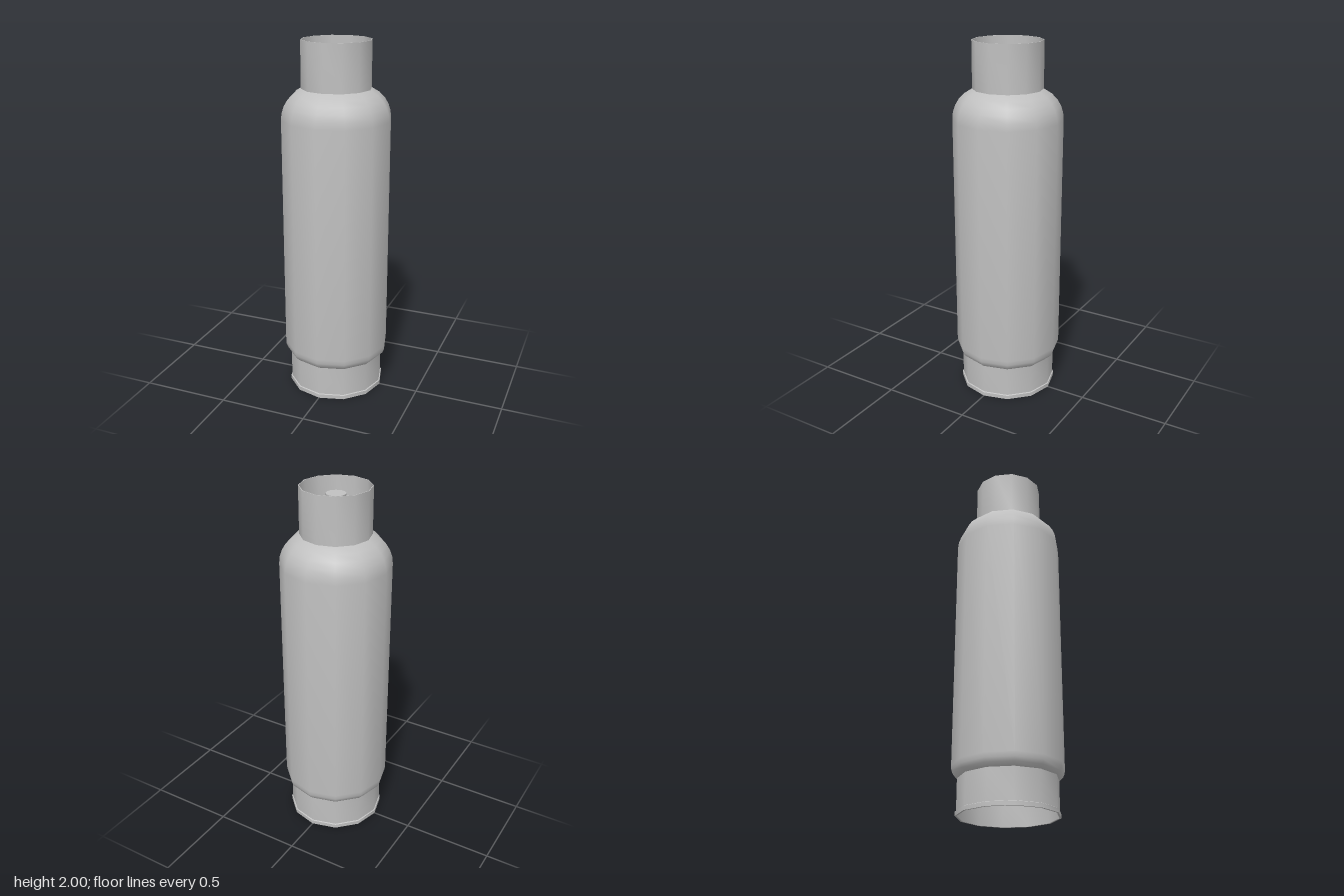
import * as THREE from 'three';
import { toCreasedNormals } from 'three/addons/utils/BufferGeometryUtils.js';

const SIDES = 12;

export function createModel() {
  const model = new THREE.Group();
  model.name = 'gasCylinder';
  const grey = new THREE.MeshStandardMaterial({ color: 0xc0c0c0 });
  grey.name = 'grey metal';

  // Turned part: profile runs up the outside, as [radius, height]
  function turned(name, profile) {
    const points = profile.map(([r, y]) => new THREE.Vector2(r, y));
    const geometry = toCreasedNormals(new THREE.LatheGeometry(points, SIDES), 0.75);
    const mesh = new THREE.Mesh(geometry, grey);
    mesh.name = name;
    model.add(mesh);
  }

  // Pressure vessel with domed ends
  turned('tank', [
    [0, 0.15], [0.14, 0.16], [0.23, 0.18], [0.27, 0.195], [0.289, 0.213], [0.298, 0.235], [0.3, 0.26],
    [0.3, 1.58], [0.296, 1.617], [0.284, 1.653], [0.264, 1.687], [0.234, 1.718], [0.19, 1.745],
    [0.13, 1.768], [0.07, 1.78], [0, 1.785],
  ]);

  // Open foot ring with a rolled lip at the base
  turned('footRing', [
    [0.264, 0], [0.274, 0], [0.274, 0.022], [0.268, 0.025], [0.268, 0.2],
    [0.264, 0.2], [0.264, 0],
  ]);

  // Thin open guard collar around the valve
  turned('collar', [
    [0.187, 1.735], [0.191, 1.735], [0.191, 2], [0.187, 2], [0.187, 1.735],
  ]);

  // Valve stub on top of the dome
  turned('valve', [[0.054, 1.77], [0.054, 1.96], [0, 1.96]]);

  return model;
}
